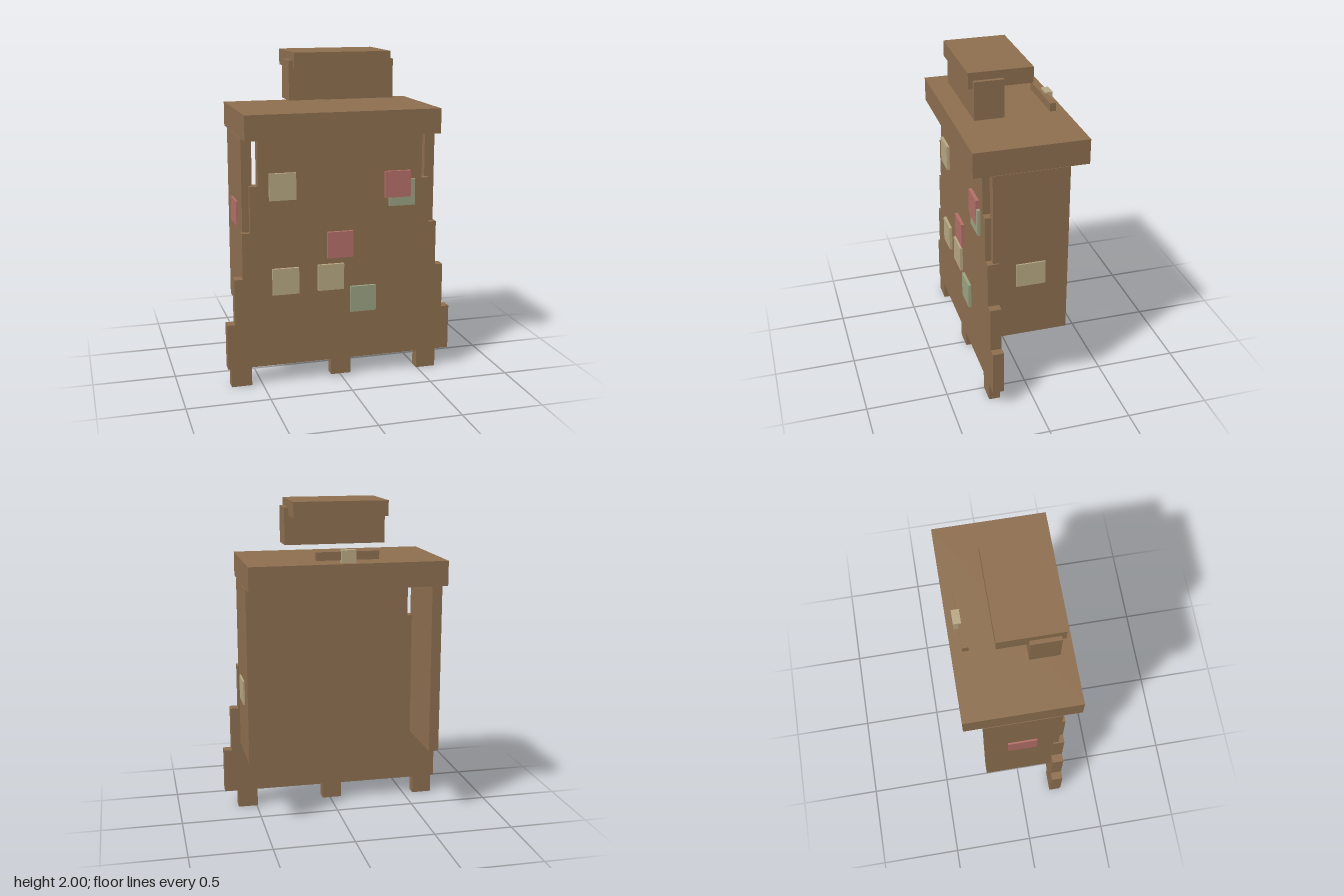
import * as THREE from 'three';

const mat = (name, color) => Object.assign(new THREE.MeshStandardMaterial({ color }), { name });

export function createModel() {
  const brown = mat('brownCloth', 0x8f7050);
  const cream = mat('creamPatch', 0xbaa984);
  const pink = mat('pinkPatch', 0xb77069);
  const green = mat('greenPatch', 0x9da582);
  const model = new THREE.Group();
  model.name = 'patchedCloak';

  // Box given by its extents on each axis
  const box = (name, material, [x0, x1], [y0, y1], [z0, z1]) => {
    const mesh = new THREE.Mesh(new THREE.BoxGeometry(x1 - x0, y1 - y0, z1 - z0), material);
    mesh.position.set((x0 + x1) / 2, (y0 + y1) / 2, (z0 + z1) / 2);
    mesh.name = name;
    model.add(mesh);
  };

  // Stepped front panel with three hem tabs, cut from one outline
  const half = [0.707, 0.658, 0.608, 0.558, 0.507];
  const hem = 0.115, step = 0.279, cx = -0.002;
  const outline = [];
  for (const [a, b, y] of [[-0.69, -0.565, 0], [-0.066, 0.058, 0.015], [0.494, 0.619, 0]]) {
    outline.push([a, hem], [a, y], [b, y], [b, hem]);
  }
  half.forEach((w, i) => outline.push([cx + w, hem + i * step], [cx + w, hem + (i + 1) * step]));
  for (let i = half.length - 1; i >= 0; i--) {
    outline.push([cx - half[i], hem + (i + 1) * step], [cx - half[i], hem + i * step]);
  }
  const panel = new THREE.Mesh(
    new THREE.ExtrudeGeometry(new THREE.Shape(outline.map(([x, y]) => new THREE.Vector2(x, y))),
      { depth: 0.068, bevelEnabled: false }), brown);
  panel.position.z = 0.195;
  panel.name = 'steppedFrontPanel';
  model.add(panel);

  // Side panels and shoulder slab
  box('leftSidePanel', brown, [0.535, 0.597], [0.44, 1.51], [-0.225, 0.228]);
  box('rightSidePanel', brown, [-0.601, -0.539], [0.44, 1.51], [-0.225, 0.228]);
  box('shoulderSlab', brown, [-0.598, 0.594], [1.51, 1.66], [-0.339, 0.339]);

  // Raised collar and hood above the shoulders
  box('collar', brown, [-0.317, 0.313], [1.725, 1.953], [0.078, 0.253]);
  box('hoodTop', brown, [-0.292, 0.288], [1.905, 2], [-0.1, 0.28]);

  // Clasp at the back
  box('claspBar', brown, [-0.19, 0.186], [1.674, 1.724], [-0.274, -0.237]);
  box('claspBuckle', cream, [-0.046, 0.041], [1.66, 1.735], [-0.302, -0.256]);

  // Square patches on the front
  const patches = [
    [cream, -0.365, 1.224], [green, 0.377, 1.15], [pink, 0.349, 1.203], [pink, -0.012, 0.85],
    [cream, -0.351, 0.645], [cream, -0.07, 0.65], [green, 0.134, 0.498],
  ];
  patches.forEach(([m, x, y], i) => box('frontPatch' + (i + 1), m,
    [x - 0.081, x + 0.081], [y - 0.081, y + 0.081], [0.26, m === pink ? 0.283 : 0.281]));

  // One patch on each side
  box('leftSidePatch', cream, [0.59, 0.607], [0.778, 0.925], [-0.086, 0.09]);
  box('rightSidePatch', pink, [-0.611, -0.595], [0.963, 1.112], [-0.086, 0.09]);

  return model;
}
